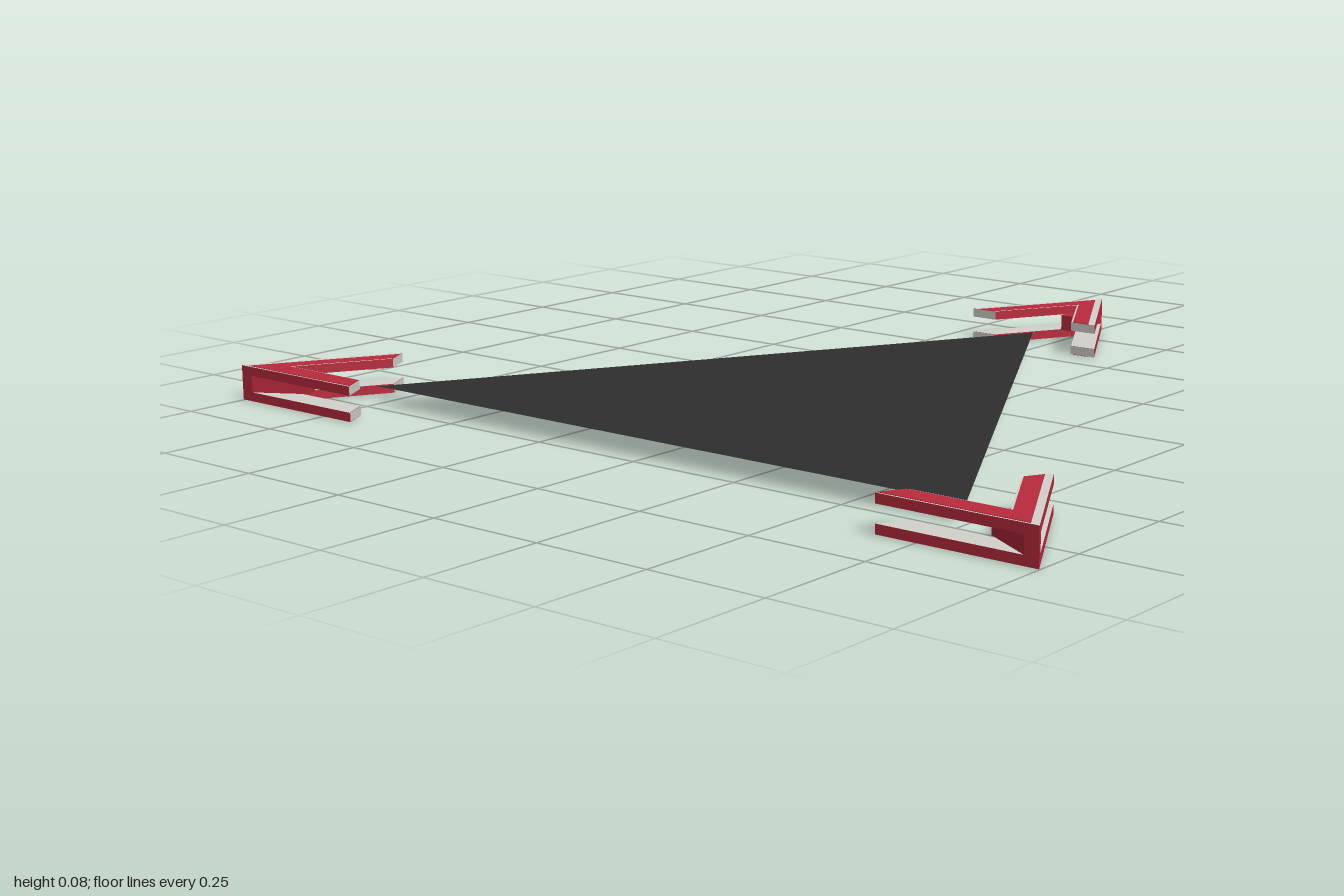
import * as THREE from 'three';

const red = new THREE.MeshStandardMaterial({ name: 'red', color: 0xba2a3c });
const white = new THREE.MeshStandardMaterial({ name: 'paleGrey', color: 0xd4d2cc });
const dark = new THREE.MeshStandardMaterial({ name: 'charcoal', color: 0x2e2e2e, side: THREE.DoubleSide });

const R = 1.1547;        // corner distance from the centre
const CENTRE_Z = 0.289;  // centre of the triangle
const REACH = 0.289;     // how far a bracket extends from its corner
const WIDTH = 0.054;     // leg width
const S = Math.sqrt(3);

// Chevron with its tip at the origin; offsets run inward from the outer edge of each leg
function chevron(leftOut, rightOut, leftIn, rightIn) {
  const tip = (l, r) => new THREE.Vector2((l - r) / S, l + r);
  const end = (o, side) => new THREE.Vector2(side * (REACH / 2 - o) * 2 / S, REACH);
  return new THREE.Shape([
    end(leftOut, -1), tip(leftOut, rightOut), end(rightOut, 1),
    end(rightIn, 1), tip(leftIn, rightIn), end(leftIn, -1),
  ]);
}

// Lay a shape flat as a slab between two heights
function slab(name, shape, y0, y1, material) {
  const g = new THREE.ExtrudeGeometry(shape, { depth: y1 - y0, bevelEnabled: false });
  g.rotateX(Math.PI / 2).translate(0, y1, 0);
  const mesh = new THREE.Mesh(g, material);
  mesh.name = name;
  return mesh;
}

// Two stacked chevron plates joined by a web at the tip
function bracket(leftMargin, rightMargin) {
  const body = new THREE.Group();
  const plate = chevron(0, 0, WIDTH, WIDTH);
  const stripe = chevron(leftMargin, rightMargin, WIDTH - 0.004, WIDTH - 0.004);
  body.add(slab('lowerPlate', plate, 0.001, 0.02, [white, red]));
  body.add(slab('upperPlate', plate, 0.055, 0.074, [white, red]));
  body.add(slab('lowerStripe', stripe, 0, 0.002, red));
  body.add(slab('upperStripe', stripe, 0.073, 0.075, red));

  const web = new THREE.Shape([[0, 0], [0.015, 0.026], [0.015, 0.15], [-0.015, 0.15], [-0.015, 0.026]]
    .map(([x, y]) => new THREE.Vector2(x, y)));
  body.add(slab('web', web, 0.02, 0.055, red));

  // Pale leg ends
  const w = WIDTH * 2 / S;
  for (const side of [-1, 1]) for (const y of [0.0105, 0.0645]) {
    const cap = new THREE.Mesh(new THREE.PlaneGeometry(w, 0.019), white);
    cap.name = 'legEnd';
    cap.position.set(side * (REACH / S - w / 2), y, REACH + 0.001);
    body.add(cap);
  }
  body.position.z = -R;
  const pivot = new THREE.Group();
  pivot.add(body);
  pivot.position.z = CENTRE_Z;
  return pivot;
}

export function createModel() {
  const model = new THREE.Group();
  model.name = 'triangleWithCornerBrackets';

  // Flat central panel
  const panelShape = new THREE.Shape([
    new THREE.Vector2(0, -0.577), new THREE.Vector2(0.749, 0.72), new THREE.Vector2(-0.749, 0.72),
  ]);
  const panel = new THREE.Mesh(new THREE.ShapeGeometry(panelShape).rotateX(Math.PI / 2), dark);
  panel.name = 'panel';
  panel.position.y = 0.0375;
  model.add(panel);

  // One bracket at each corner; the front legs carry a narrower pale edge
  const corners = [
    ['backBracket', 0, 0.015, 0.015],
    ['frontRightBracket', 1, 0.004, 0.015],
    ['frontLeftBracket', -1, 0.015, 0.004],
  ];
  for (const [name, turn, left, right] of corners) {
    const b = bracket(left, right);
    b.name = name;
    b.rotation.y = turn * 2 * Math.PI / 3;
    model.add(b);
  }
  return model;
}
